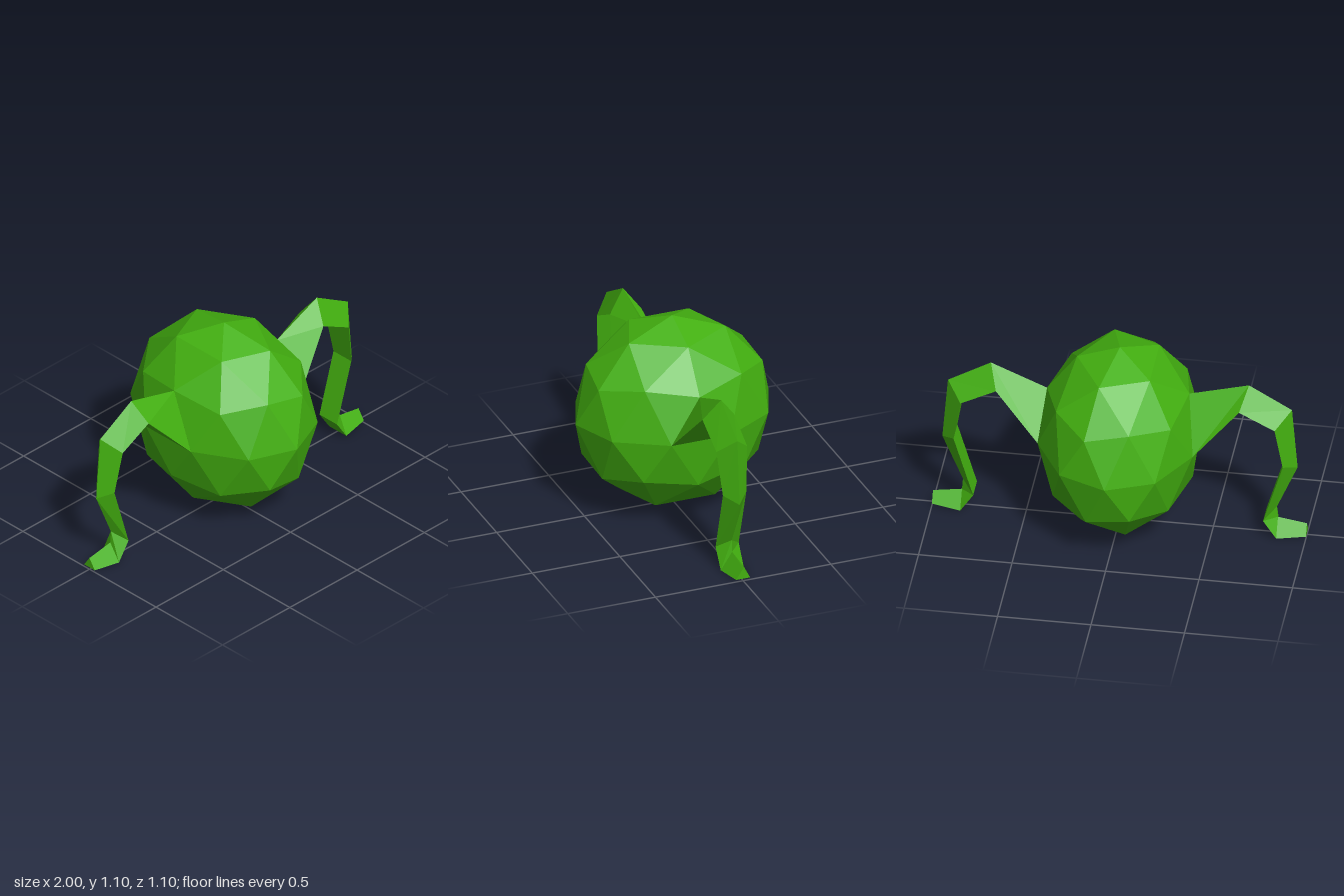
import * as THREE from 'three';

const material = new THREE.MeshStandardMaterial({ color: 0x43b010, flatShading: true });

// Faceted egg-shaped body with a vertex at each pole
function makeBody() {
  const geo = new THREE.IcosahedronGeometry(1, 1);
  geo.rotateX(-Math.atan2((1 + Math.sqrt(5)) / 2, 1));
  geo.rotateY(Math.PI / 2);
  geo.scale(0.436, 0.546, 0.55);
  geo.translate(0, 0.556, 0);
  const body = new THREE.Mesh(geo, material);
  body.name = 'body';
  return body;
}

// Triangular leg sections from hip to toe: [ridge x, ridge y, base x, base y, base half width]
const legSections = [
  [0.69, 0.93, 0.65, 0.81, 0.09],
  [0.92, 0.795, 0.84, 0.71, 0.088],
  [0.95, 0.43, 0.88, 0.465, 0.067],
  [0.84, 0.167, 0.775, 0.11, 0.066],
  [0.845, 0.1, 0.845, 0.003, 0.065],
  [1.0, 0.075, 1.0, 0.015, 0.04],
];

// Leg lofted through the sections; side is +1 (left) or -1 (right)
function makeLeg(side, hip) {
  const rings = [hip, ...legSections].map(([ax, ay, bx, by, w]) => [
    [side * ax, ay, 0], [side * bx, by, w], [side * bx, by, -w],
  ]);
  const positions = [];
  const tri = (a, b, c) => positions.push(...(side > 0 ? [a, b, c] : [a, c, b]).flat());
  for (let i = 0; i < rings.length - 1; i++) {
    for (let j = 0; j < 3; j++) {
      const k = (j + 1) % 3, p = rings[i], q = rings[i + 1];
      tri(p[j], p[k], q[k]);
      tri(p[j], q[k], q[j]);
    }
  }
  tri(...rings[rings.length - 1]); // toe cap
  const geo = new THREE.BufferGeometry();
  geo.setAttribute('position', new THREE.Float32BufferAttribute(positions, 3));
  geo.computeVertexNormals();
  const leg = new THREE.Mesh(geo, material);
  leg.name = side > 0 ? 'leftLeg' : 'rightLeg';
  return leg;
}

export function createModel() {
  const model = new THREE.Group();
  model.name = 'leggedCreature';
  // Each hip grows out of the body facet on its side
  model.add(
    makeBody(),
    makeLeg(1, [0.39, 0.8, 0.415, 0.556, 0.17]),
    makeLeg(-1, [0.371, 0.843, 0.415, 0.556, 0.17]),
  );
  return model;
}
